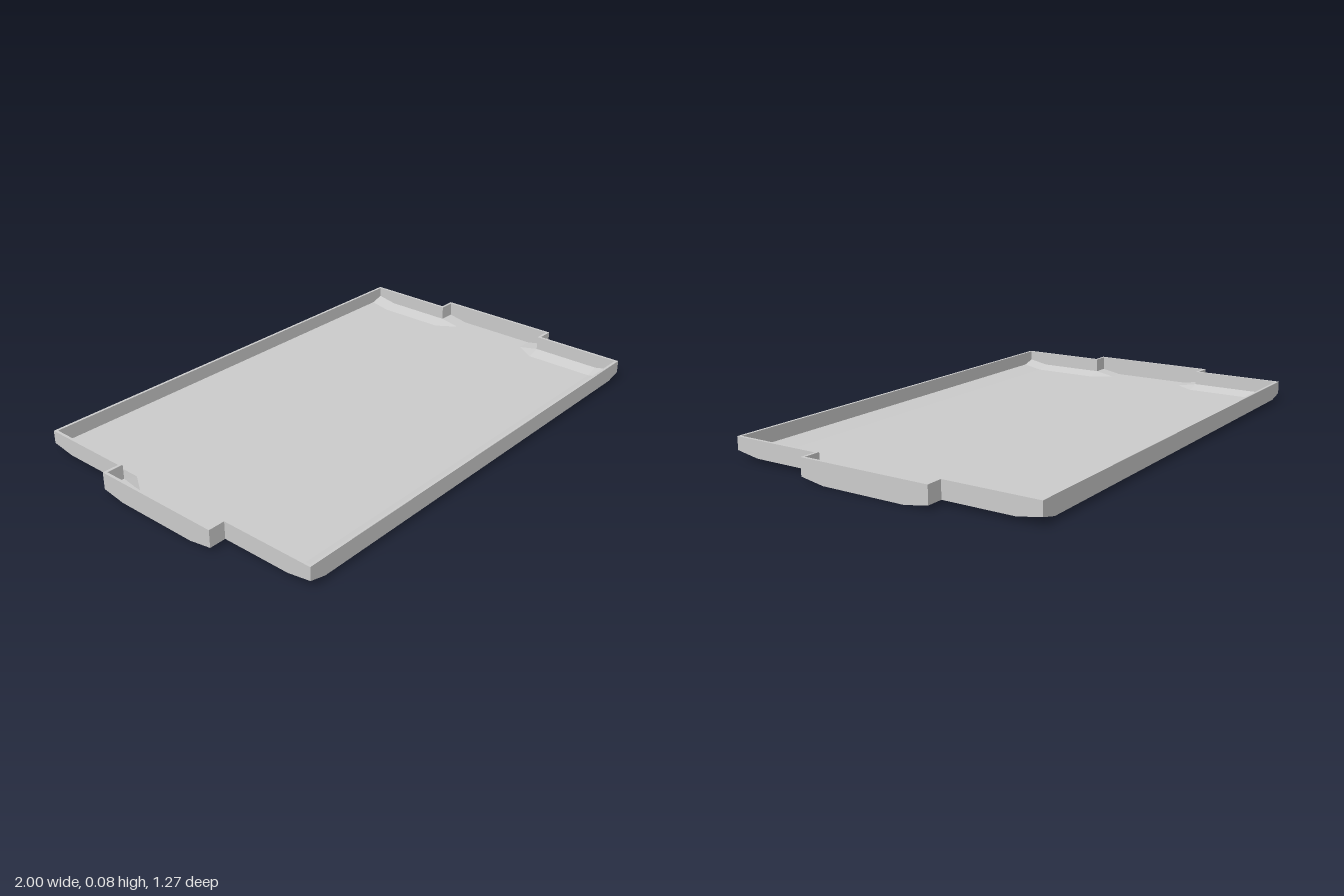
import * as THREE from 'three';

const X = [-1, -0.935, -0.87, 0.87, 0.935, 1];
const Z = [-0.635, -0.54, -0.265, -0.17, 0.17, 0.265, 0.54, 0.635];
const TOP = 0.083, WALL = 0.011, FLOOR = 0.011, RISE = 0.016;

// Cells of the cross-shaped plan: the main rectangle plus a tab on each side
const inside = (i, j) => {
  if (i < 0 || j < 0 || i >= X.length - 1 || j >= Z.length - 1) return false;
  return (i > 0 && i < X.length - 2) || (j > 1 && j < 5);
};

// The floor bends upwards towards the long and short edges
function bend(x, z) {
  const ax = Math.abs(x), az = Math.abs(z);
  let y = 0;
  if (ax > 0.9 && az > 0.2) y += RISE;
  if (az > 0.6) y += RISE;
  return y;
}

// Grid point on the outer skin, or on the inner skin inset by the wall thickness
function point(i, j, inner) {
  const x = X[i], z = Z[j], y = bend(x, z);
  if (!inner) return new THREE.Vector3(x, y, z);
  const inset = (v, edges) => (edges.includes(Math.abs(v)) ? v - Math.sign(v) * WALL : v);
  return new THREE.Vector3(inset(x, [0.935, 1]), y + FLOOR, inset(z, [0.265, 0.635]));
}

const raise = (p) => new THREE.Vector3(p.x, TOP, p.z);

function quad(out, a, b, c, d, otherDiagonal = false) {
  if (otherDiagonal) out.push(a, b, d, b, c, d);
  else out.push(a, b, c, a, c, d);
}

function makeMesh(name, points) {
  const geometry = new THREE.BufferGeometry().setFromPoints(points);
  geometry.computeVertexNormals();
  const mesh = new THREE.Mesh(geometry, new THREE.MeshStandardMaterial({ color: 0xcccccc, flatShading: true }));
  mesh.name = name;
  return mesh;
}

export function createModel() {
  const floor = [], underside = [], outerWall = [], innerWall = [], rim = [];

  for (let i = 0; i < X.length - 1; i++) {
    for (let j = 0; j < Z.length - 1; j++) {
      if (!inside(i, j)) continue;
      const corners = [[i, j], [i, j + 1], [i + 1, j + 1], [i + 1, j]];
      const o = corners.map(([u, v]) => point(u, v, false));
      const n = corners.map(([u, v]) => point(u, v, true));

      // Floor and underside, folded along the diagonal at the tab corners
      const fold = (X[i] + X[i + 1]) * (Z[j] + Z[j + 1]) > 0;
      quad(floor, n[0], n[1], n[2], n[3], fold);
      quad(underside, o[3], o[2], o[1], o[0], fold);

      // Walls and rim wherever the plan ends
      const neighbours = [[i - 1, j], [i, j + 1], [i + 1, j], [i, j - 1]];
      neighbours.forEach(([u, v], k) => {
        if (inside(u, v)) return;
        const m = (k + 1) % 4;
        quad(outerWall, o[k], o[m], raise(o[m]), raise(o[k]));
        quad(innerWall, n[m], n[k], raise(n[k]), raise(n[m]));
        quad(rim, raise(o[k]), raise(o[m]), raise(n[m]), raise(n[k]));
      });
    }
  }

  const tray = new THREE.Group();
  tray.name = 'tray';
  tray.add(
    makeMesh('floor', floor),
    makeMesh('underside', underside),
    makeMesh('outerWall', outerWall),
    makeMesh('innerWall', innerWall),
    makeMesh('rim', rim)
  );
  return tray;
}
